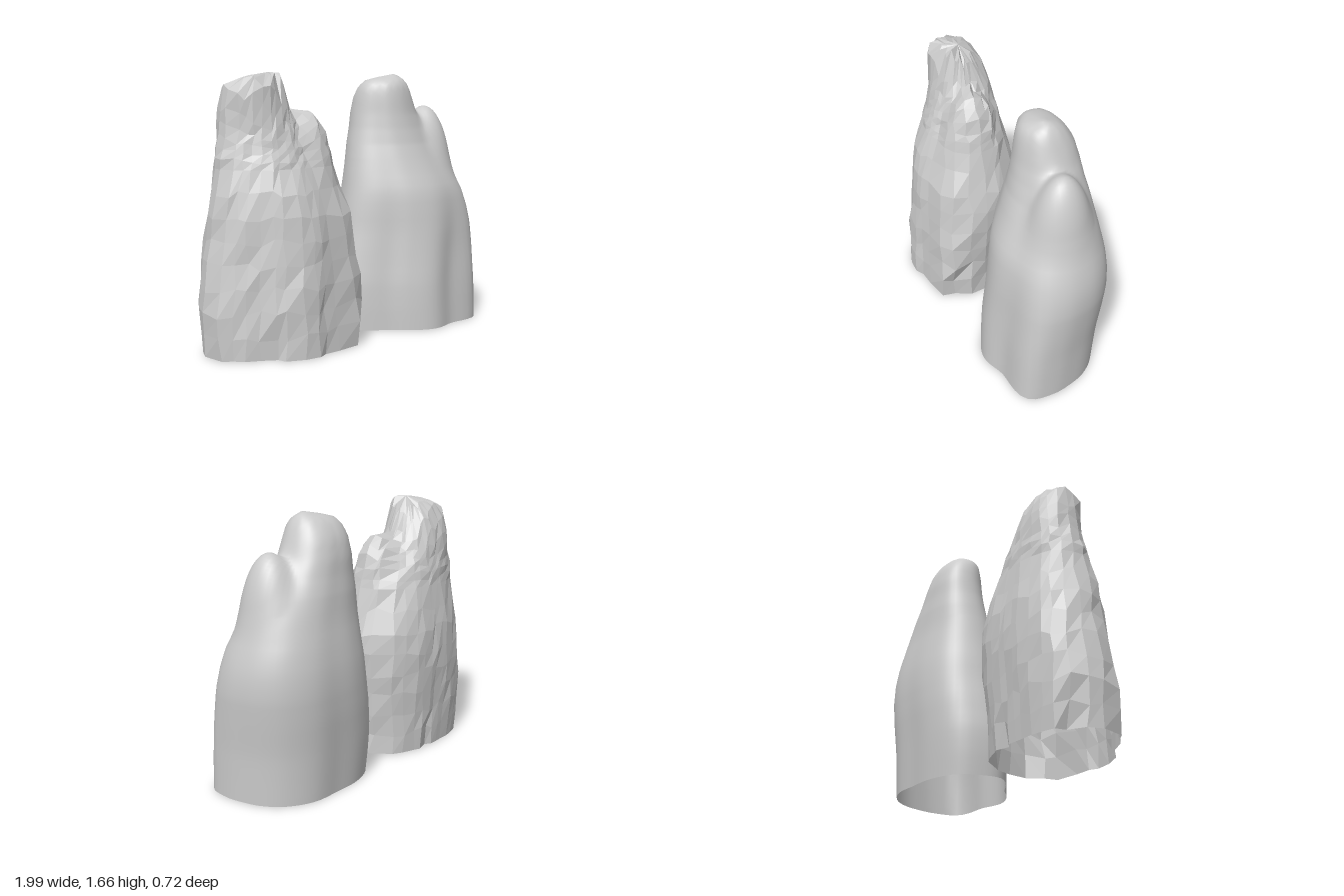
import * as THREE from 'three';

// Outline radii every 22.5 degrees, from +x round through +z, as a share of the half extents
const FOOT = [1, 1.1, 1.24, 1.0, 1.02, 0.88, 0.77, 0.85, 1, 1.04, 1.12, 1.08, 1.01, 1.06, 1.04, 1];
const CROWN = [1, 1.03, 1.06, 1.02, 1, 0.95, 0.9, 0.94, 1, 1.04, 1.09, 1.05, 1, 1.03, 1.05, 1.02];

// Extents by height: y, xMin, xMax, zMin, zMax
const TRUNK = [
  [0, 0.04, 0.965, -0.315, 0.355], [0.15, 0.027, 0.967, -0.325, 0.348], [0.3, 0.025, 0.97, -0.335, 0.34],
  [0.5, 0.055, 0.985, -0.35, 0.325], [0.65, 0.083, 0.995, -0.355, 0.315], [0.78, 0.1, 0.985, -0.35, 0.302],
  [0.9, 0.12, 0.955, -0.335, 0.282], [1.05, 0.143, 0.88, -0.31, 0.215], [1.2, 0.17, 0.775, -0.295, 0.153],
  [1.3, 0.19, 0.705, -0.28, 0.123],
];
const SMOOTH_TOP = [
  [1.4, 0.205, 0.645, -0.27, 0.1], [1.5, 0.22, 0.605, -0.245, 0.085], [1.57, 0.24, 0.575, -0.205, 0.07],
  [1.61, 0.28, 0.55, -0.165, 0.04], [1.63, 0.36, 0.53, -0.12, 0], [1.65, 0.47, 0.49, -0.06, -0.04],
];
const ROUGH_TOP = [
  [1.4, 0.195, 0.64, -0.27, 0.1], [1.55, 0.205, 0.58, -0.225, 0.09], [1.61, 0.24, 0.56, -0.17, 0.088],
  [1.635, 0.32, 0.55, -0.13, 0.07], [1.655, 0.51, 0.54, -0.06, -0.03],
];

const { lerp, smoothstep } = THREE.MathUtils;

function outline(radii, angle) {
  const s = ((angle / (Math.PI * 2)) * 16 + 16) % 16, i = Math.floor(s), f = s - i;
  const p = (k) => radii[(i + k + 16) % 16];
  const [a, b, c, d] = [p(-1), p(0), p(1), p(2)];
  return b + 0.5 * f * (c - a + f * (2 * a - 5 * b + 4 * c - d + f * (3 * (b - c) + d - a)));
}

function random(seed) {
  return () => {
    seed = (seed * 16807) % 2147483647;
    return seed / 2147483647 - 0.5;
  };
}

// Negative inside the rock: a tapering trunk blended with a side buttress ending in a lower peak
function field(rows, x, y, z) {
  const last = rows.length - 1;
  let trunk = 9;
  if (y < rows[last][0]) {
    let k = 0;
    while (k < last - 1 && rows[k + 1][0] <= y) k++;
    const f = (y - rows[k][0]) / (rows[k + 1][0] - rows[k][0]);
    const [, x0, x1, z0, z1] = rows[k].map((v, n) => lerp(v, rows[k + 1][n], f));
    const u = (2 * x - x0 - x1) / (x1 - x0), v = (2 * z - z0 - z1) / (z1 - z0);
    const a = Math.atan2(v, u);
    const r = lerp(outline(FOOT, a), outline(CROWN, a), smoothstep(y, 0.2, 1.15));
    trunk = Math.hypot(u, v) / r - 1;
  }
  const peak = Math.hypot((x - 0.725) / 0.19, (y - 0.85) / 0.59, (z + 0.015) / 0.21) - 1;
  const h = Math.max(0.25 - Math.abs(trunk - peak), 0) / 0.25;
  return Math.min(trunk, peak) - h * h * 0.05;
}

// Skin the rock with rays: level ones up the axis, then fanning upward over the crown
function rockGeometry({ rows, sides, lower, upper, rough, seed }) {
  const rand = random(seed), pos = [], index = [], waist = 1.1;
  const cast = (oy, angle, lift) => {
    const dir = new THREE.Vector3(Math.cos(angle) * Math.cos(lift), Math.sin(lift), Math.sin(angle) * Math.cos(lift));
    const o = new THREE.Vector3(0.5, oy, -0.06);
    let near = 0, far = 1;
    for (let n = 0; n < 24; n++) {
      const d = (near + far) / 2;
      const p = dir.clone().multiplyScalar(d).add(o);
      if (field(rows, p.x, p.y, p.z) < 0) near = d; else far = d;
    }
    return dir.multiplyScalar(near * (1 + rough * 0.045 * rand())).add(o);
  };
  const total = lower + upper;
  const columns = Array.from({ length: sides }, (_, i) => i + rough * 0.5 * rand());
  for (let j = 0; j < total; j++) {
    for (let i = 0; i < sides; i++) {
      const inner = j > 0 && j < lower;
      const angle = ((columns[i] + rough * 0.3 * rand()) / sides) * Math.PI * 2;
      const y = Math.min(j / lower, 1) * waist + (inner ? rough * 0.05 * rand() : 0);
      const step = Math.max(j - lower, 0);
      const lift = ((step + (step ? rough * 0.6 * rand() : 0)) / upper) * Math.PI / 2;
      const p = cast(y, angle, lift);
      // Narrow clefts around the foot of the rough rock
      if (rough && j < 2 && i % 7 === 3) {
        p.x = lerp(p.x, 0.5, 0.09 - j * 0.04);
        p.z = lerp(p.z, -0.06, 0.09 - j * 0.04);
      }
      pos.push(p.x, p.y, p.z);
    }
  }
  pos.push(...cast(waist, 0, Math.PI / 2).toArray());
  const tip = total * sides;
  for (let j = 0; j < total; j++) {
    for (let i = 0; i < sides; i++) {
      const a = j * sides + i, b = j * sides + ((i + 1) % sides);
      if (j === total - 1) index.push(a, tip, b);
      else index.push(a, a + sides, b, b, a + sides, b + sides);
    }
  }
  const geometry = new THREE.BufferGeometry();
  geometry.setAttribute('position', new THREE.Float32BufferAttribute(pos, 3));
  geometry.setIndex(index);
  geometry.computeVertexNormals();
  return geometry;
}

export function createModel() {
  const group = new THREE.Group();
  group.name = 'rockPillars';
  const add = (name, options, x, flatShading) => {
    const material = new THREE.MeshStandardMaterial({ color: 0xcccccc, side: THREE.DoubleSide, flatShading });
    const mesh = new THREE.Mesh(rockGeometry(options), material);
    mesh.name = name;
    mesh.position.x = x;
    group.add(mesh);
  };
  // Smooth weathered pillar, open underneath
  add('smoothRock', { rows: [...TRUNK, ...SMOOTH_TOP], sides: 72, lower: 20, upper: 28, rough: 0, seed: 1 }, 0, false);
  // Faceted, chipped pillar of the same form
  add('roughRock', { rows: [...TRUNK, ...ROUGH_TOP], sides: 30, lower: 8, upper: 9, rough: 1, seed: 77 }, -1.02, true);
  return group;
}
